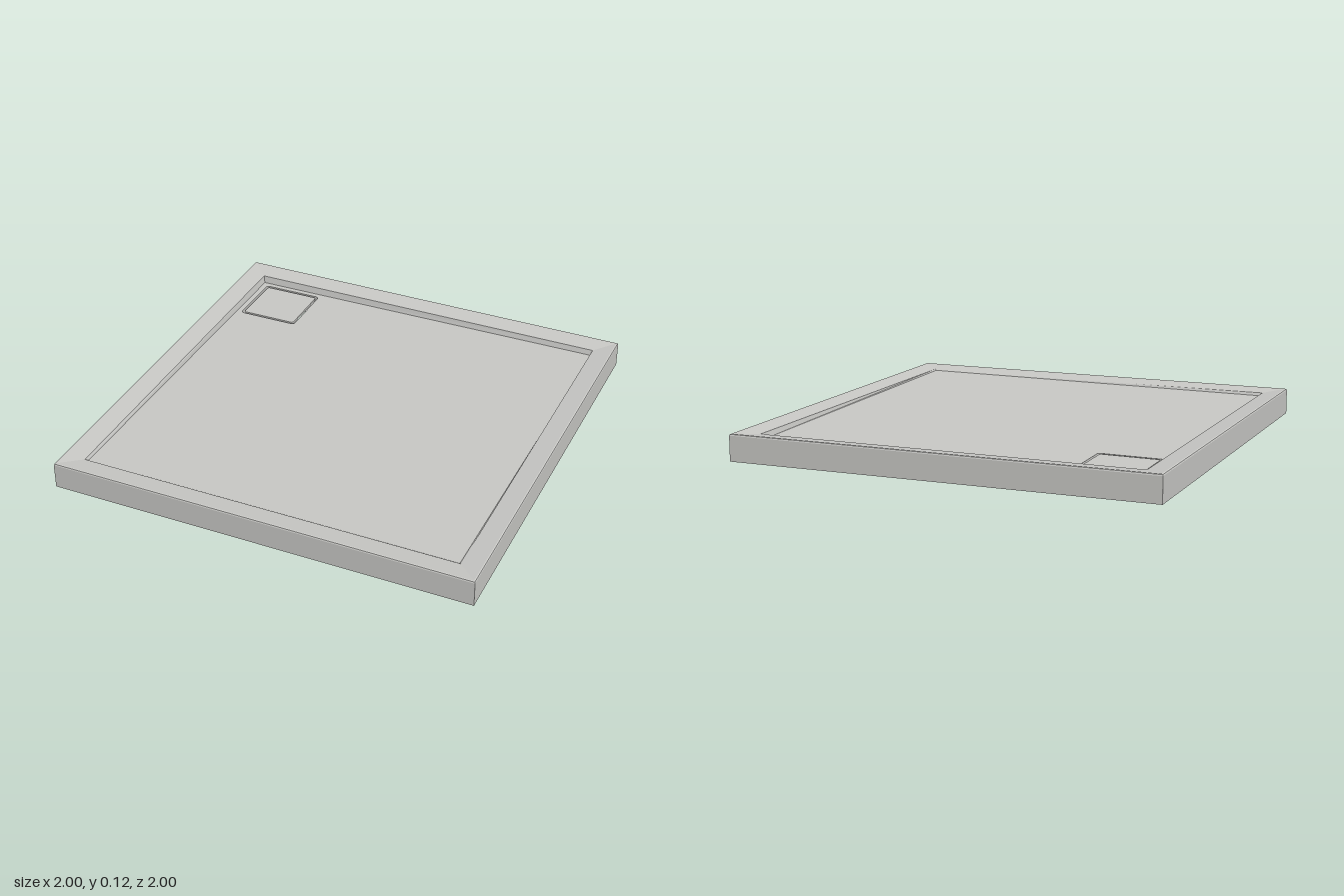
import * as THREE from 'three';

const DRAIN = -0.717; // drain centre in x and z
const FLOOR_EDGE = 0.893;

// The floor is a plane that falls towards the drain corner.
const floorY = (x, z) => 0.093 + 0.005 * x + 0.0117 * z;

// Square outline with small rounded corners, as points.
function roundedSquare(cx, cy, h, r) {
  const s = new THREE.Shape();
  [[1, 1, 0], [-1, 1, 1], [-1, -1, 2], [1, -1, 3]].forEach(([sx, sy, q]) => {
    s.absarc(cx + sx * (h - r), cy + sy * (h - r), r, q * Math.PI / 2, (q + 1) * Math.PI / 2, false);
  });
  return s.getPoints(4);
}

// Lay a flat shape geometry (x, y) down as (x, z), with height from a rule.
function layDown(geometry, height) {
  const p = geometry.attributes.position;
  for (let i = 0; i < p.count; i++) {
    const x = p.getX(i), z = -p.getY(i), up = p.getZ(i);
    p.setXYZ(i, x, height(x, z) + up, z);
  }
  geometry.computeVertexNormals();
  return geometry;
}

// Join successive outlines (arrays of Vector3) with flat faces.
function loft(rings) {
  const v = [];
  for (let k = 0; k < rings.length - 1; k++) {
    const a = rings[k], b = rings[k + 1], n = a.length;
    for (let i = 0; i < n; i++) {
      const j = (i + 1) % n;
      [a[i], a[j], b[j], a[i], b[j], b[i]].forEach((p) => v.push(p.x, p.y, p.z));
    }
  }
  const g = new THREE.BufferGeometry();
  g.setAttribute('position', new THREE.Float32BufferAttribute(v, 3));
  g.computeVertexNormals();
  return g;
}

export function createModel() {
  const tray = new THREE.Group();
  tray.name = 'showerTray';
  const enamel = new THREE.MeshStandardMaterial({ color: 0xc8c8c5, side: THREE.DoubleSide });
  enamel.name = 'warm light grey';
  const add = (name, geometry) => {
    const m = new THREE.Mesh(geometry, enamel);
    m.name = name;
    tray.add(m);
    return m;
  };

  // Outer walls, softened top edge, inward-sloping rim and step to the floor
  const squareRing = (h, height) => [[-1, 1], [1, 1], [1, -1], [-1, -1]].map(
    ([sx, sz]) => new THREE.Vector3(sx * h, height(sx * h, sz * h), sz * h));
  const profile = [
    [1, 0], [1, 0.117], [0.9976, 0.1227], [0.992, 0.125], [0.9, 0.113],
  ];
  const rings = profile.map(([h, y]) => squareRing(h, () => y));
  rings.push(squareRing(FLOOR_EDGE, floorY));
  add('wallsAndRim', loft(rings));

  // Sloping floor with the drain opening
  const opening = roundedSquare(DRAIN, -DRAIN, 0.149, 0.015);
  const e = FLOOR_EDGE;
  const floor = new THREE.Shape([[-e, -e], [e, -e], [e, e], [-e, e]].map(([x, y]) => new THREE.Vector2(x, y)));
  floor.holes.push(new THREE.Path(opening));
  add('floor', layDown(new THREE.ShapeGeometry(floor), floorY));

  // Recess below the floor opening
  const recessY = 0.044;
  const rim = (height) => opening.map((p) => new THREE.Vector3(p.x, height(p.x, -p.y), -p.y));
  add('drainRecessWalls', loft([rim(floorY), rim(() => recessY)]));

  const base = new THREE.Shape(opening);
  const hole = new THREE.Path();
  hole.absarc(DRAIN, -DRAIN, 0.13, 0, Math.PI * 2, true);
  base.holes.push(hole);
  add('drainRecessBase', layDown(new THREE.ShapeGeometry(base, 24), () => recessY));

  // Short outlet collar under the recess
  const collar = add('drainOutlet', new THREE.CylinderGeometry(0.13, 0.13, 0.02, 48, 1, true));
  collar.position.set(DRAIN, recessY - 0.01, DRAIN);

  // Square cover, flush with the floor and leaving a narrow gap
  const lid = new THREE.Shape(roundedSquare(DRAIN, -DRAIN, 0.137, 0.01));
  const lidGeometry = new THREE.ExtrudeGeometry(lid, { depth: 0.012, bevelEnabled: false });
  add('drainCover', layDown(lidGeometry, (x, z) => floorY(x, z) - 0.012));

  return tray;
}
